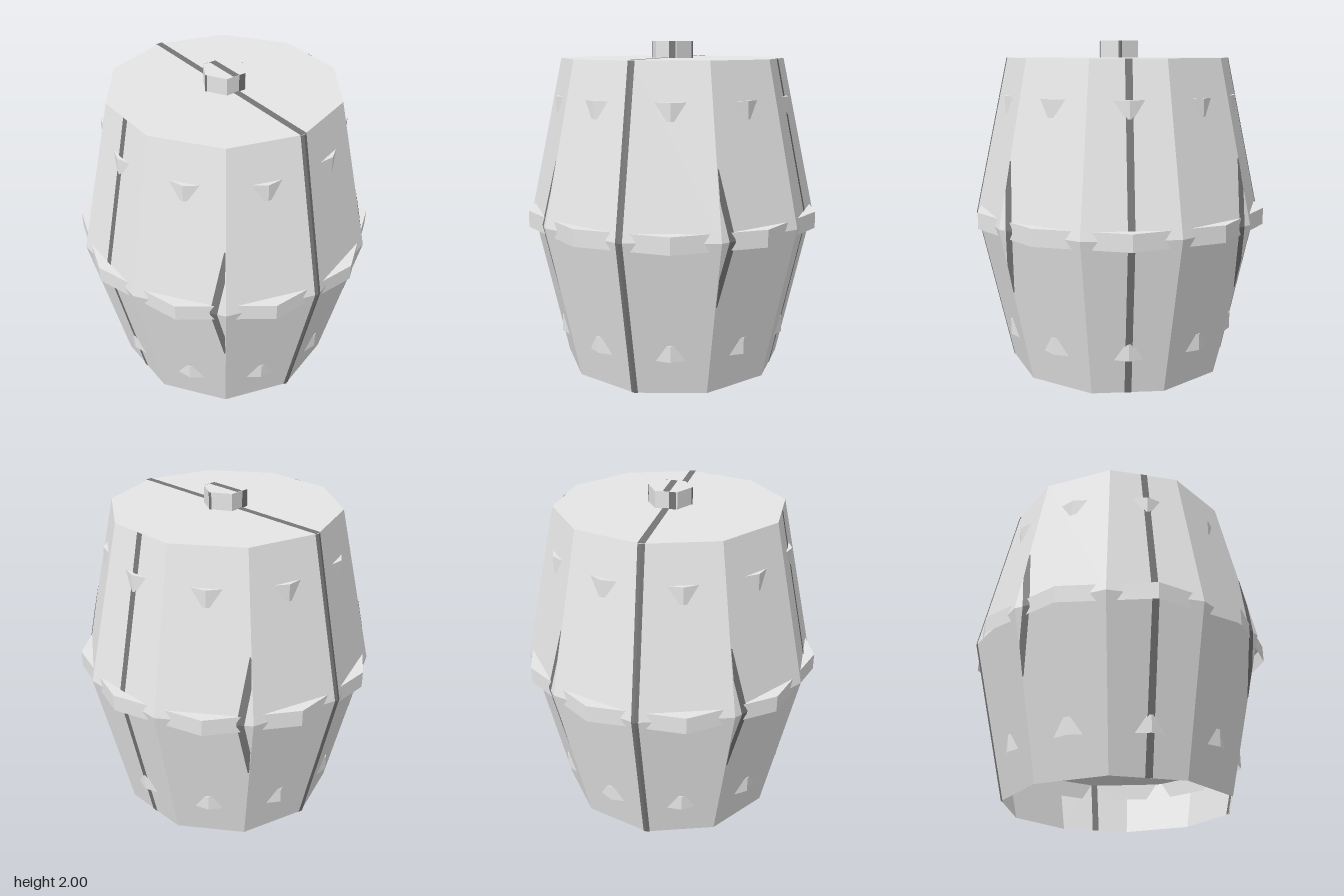
import * as THREE from 'three';

const H = 1.9, MID = 0.95, END_R = 0.68, MID_R = 0.89;
const SIDES = 10, A = Math.PI / SIDES;
const LIFT = 0.003; // how far painted seams sit off the wood

// Corner radius and flat-face distance of the barrel at a height
const radius = (y) => MID_R - (MID_R - END_R) * Math.abs(y - MID) / MID;
const apothem = (y) => radius(y) * Math.cos(A);

// Faceted turned shape from a profile of [radius, height] points
function turned(profile, sides, start = 0) {
  const points = profile.map((p) => new THREE.Vector2(...p));
  const g = new THREE.LatheGeometry(points, sides, start).toNonIndexed();
  g.computeVertexNormals();
  return g;
}

// Prism with a top but no underside
const lidded = (r, h, sides, start) => turned([[r, 0], [r, h], [0, h]], sides, start);

// Thin ribbon through rows of points, each row the same length
function ribbon(rows) {
  const pos = [];
  for (let i = 0; i + 1 < rows.length; i++) {
    for (let j = 0; j + 1 < rows[i].length; j++) {
      const a = rows[i][j], b = rows[i][j + 1], c = rows[i + 1][j + 1], d = rows[i + 1][j];
      pos.push(...a, ...b, ...c, ...a, ...c, ...d);
    }
  }
  const g = new THREE.BufferGeometry();
  g.setAttribute('position', new THREE.Float32BufferAttribute(pos, 3));
  g.computeVertexNormals();
  return g;
}

export function createModel() {
  const model = new THREE.Group();
  model.name = 'barrel';
  const wood = new THREE.MeshStandardMaterial({ color: 0xe6e6e6, flatShading: true, side: THREE.DoubleSide });
  wood.name = 'light grey';
  const dark = new THREE.MeshStandardMaterial({ color: 0x767676, flatShading: true, side: THREE.DoubleSide });
  dark.name = 'dark grey';

  const add = (name, geometry, material) => {
    const mesh = new THREE.Mesh(geometry, material);
    mesh.name = name;
    model.add(mesh);
    return mesh;
  };

  // Ten-sided bulging shell, closed on top and open below
  add('body', turned([[END_R, 0], [MID_R, MID], [END_R, H], [0, H]], SIDES), wood);

  // Hoops turned half a side, so only their corners stand out of the flat faces;
  // the top of the lowest one is the floor seen through the open end
  const hoops = [['lowerHoop', 0.72, 0.218], ['middleHoop', 0.905, 0.9], ['upperHoop', 0.72, 1.582]];
  for (const [name, r, y] of hoops) add(name, lidded(r, 0.1, SIDES, A), wood).position.y = y;

  // Six-sided knob on the lid
  add('knob', lidded(0.13, 0.1, 6, Math.PI / 6), wood).position.y = H;

  for (const s of [1, -1]) {
    // Long seams, painted on the outside and the inside of the shell
    for (const lift of [LIFT, -LIFT]) {
      // Seam bent over the front and back ridges
      const ridge = [0, MID, H].map((y) => [-0.02, 0, 0.02].map((x) => [
        s * x, y, s * ((apothem(y) - Math.abs(x) * Math.sin(A)) / Math.cos(A) + lift)]));
      add(s > 0 ? 'frontSeam' : 'backSeam', ribbon(ridge), dark);

      // Seam down the middle of each side face
      const side = [0, MID, H].map((y) => [0.02, -0.02].map((z) => [s * (apothem(y) + lift), y, s * z]));
      add(s > 0 ? 'leftSeam' : 'rightSeam', ribbon(side), dark);
    }

    // Short seams beside the corners, cut off where the face ends
    for (const t of [1, -1]) {
      const rows = [-0.385, -0.21, 0, 0.21, 0.385].map((dy) => {
        const y = MID + dy;
        const outer = Math.min(0.68, radius(y) * Math.cos(2 * A));
        const row = [outer, 0.645].map((z) => [
          s * ((apothem(y) - z * Math.sin(2 * A)) / Math.cos(2 * A) + LIFT), y, t * z]);
        return s * t > 0 ? row : row.reverse();
      });
      add('cornerSeam', ribbon(rows), dark);
    }

    // Dark marks on the front and back of the knob and on its side corners
    const zk = 0.13 * Math.cos(Math.PI / 6) + 0.002;
    add('knobMark', ribbon([H, 2].map((y) => [0.018, 0.058].map((x) => [s * x, y, s * zk]))), dark);
    add('knobCornerMark', ribbon([H, 2].map((y) => [0.01, 0, -0.01].map((z) => [
      s * (0.132 - Math.abs(z) * Math.tan(Math.PI / 6)), y, s * z]))), dark);
  }

  // Seam over the lid and the knob top
  const lidSeam = (name, y, z) => add(name,
    ribbon([[[-0.02, y, z], [0.02, y, z]], [[-0.02, y, -z], [0.02, y, -z]]]), dark);
  lidSeam('lidSeam', H + LIFT, END_R);
  lidSeam('knobSeam', 2.001, 0.112);

  return model;
}
